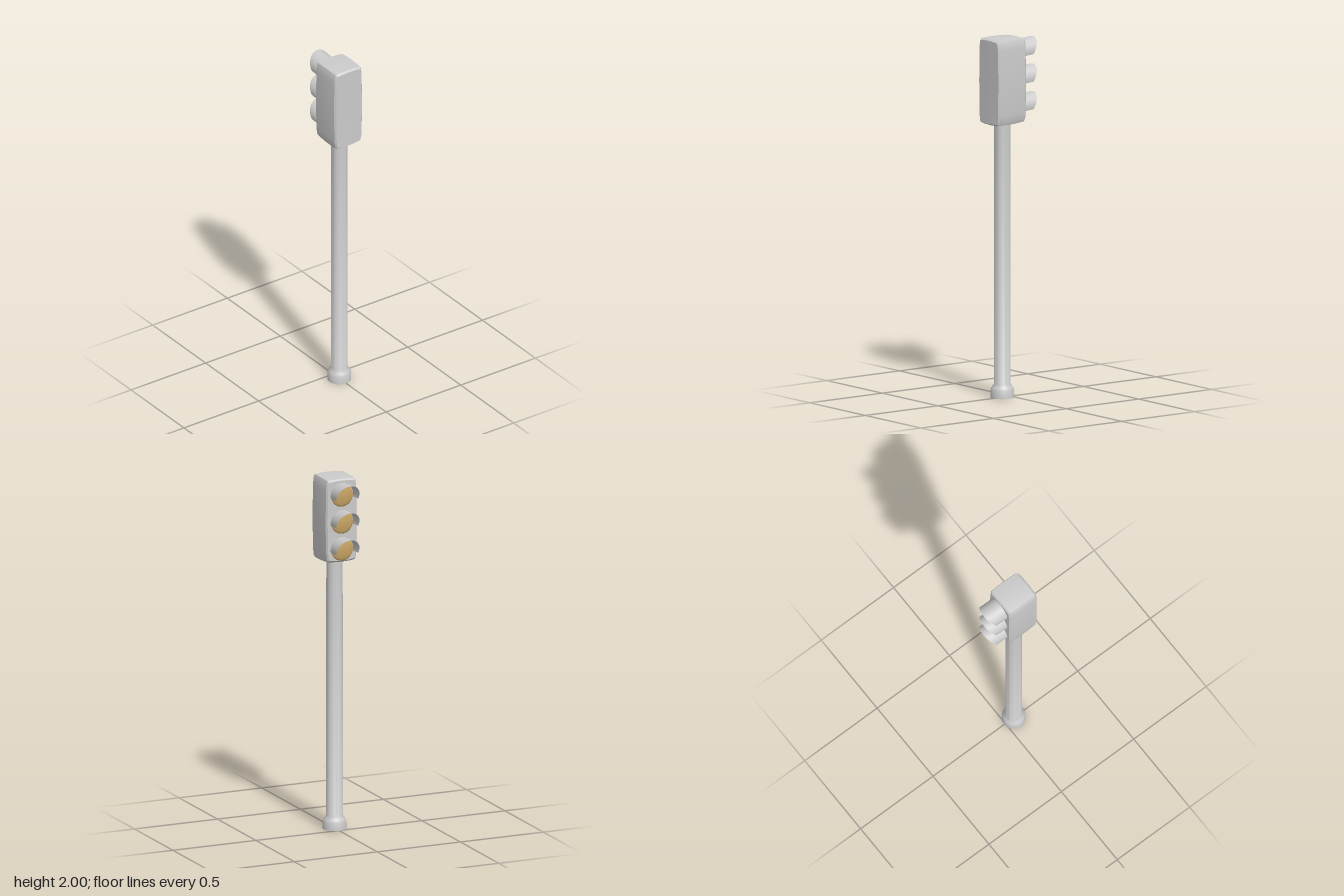
import * as THREE from 'three';
import { toCreasedNormals } from 'three/addons/utils/BufferGeometryUtils.js';

const grey = new THREE.MeshStandardMaterial({ color: 0xcccccc });
const thinGrey = new THREE.MeshStandardMaterial({ color: 0xcccccc, side: THREE.DoubleSide });
const amber = new THREE.MeshStandardMaterial({ color: 0xc8a464 });

const POLE_Z = 0.057;
const FACE_Z = -0.04;

function part(name, geometry, material) {
  const mesh = new THREE.Mesh(geometry, material);
  mesh.name = name;
  return mesh;
}

// Skin closed rings of equal length and cap both ends
function loft(rings) {
  const n = rings[0].length;
  const points = rings.flat();
  const index = [];
  for (let r = 0; r < rings.length - 1; r++) {
    for (let i = 0; i < n; i++) {
      const j = (i + 1) % n;
      const a = r * n + i, b = r * n + j, c = a + n, d = b + n;
      index.push(a, b, d, a, d, c);
    }
  }
  [0, rings.length - 1].forEach((r) => {
    const center = new THREE.Vector3();
    rings[r].forEach((p) => center.addScaledVector(p, 1 / n));
    if (r === 0) center.z = rings[r][0].z;
    const c = points.push(center) - 1;
    for (let i = 0; i < n; i++) {
      const a = r * n + i, b = r * n + (i + 1) % n;
      if (r === 0) index.push(c, b, a);
      else index.push(c, a, b);
    }
  });
  const g = new THREE.BufferGeometry().setFromPoints(points);
  g.setIndex(index);
  return g;
}

// Gently bulging signal box with bevelled edges
function housing() {
  const half = [[0.05, 0.239], [0.084, 0.235], [0.09, 0.22], [0.094, 0.18], [0.097, 0]];
  const right = [...half, ...half.slice(0, -1).reverse().map(([x, y]) => [x, -y])];
  // Counter-clockwise outline seen from +z
  const outline = [
    ...right.slice().reverse(), [0, 0.241],
    ...right.map(([x, y]) => [-x, y]), [0, -0.241],
  ];
  // z, inset of the outline
  const sections = [[FACE_Z, 0.011], [-0.03, 0.003], [0.01, 0.001], [0.055, 0], [0.1, 0.001], [0.14, 0.003], [0.15, 0.011]];
  const rings = sections.map(([z, inset], k) => outline.map(([x, y]) => {
    const px = x * (1 - inset / 0.097);
    let py = 1.759 + y * (1 - inset / 0.241);
    if (y < 0) py += (0.1 - z) * 0.05 * (-y / 0.241);
    const bulge = k === sections.length - 1 ? 0.003 * (1 - (x / 0.097) ** 2) : 0;
    return new THREE.Vector3(px, py, z + bulge);
  }));
  return part('housing', toCreasedNormals(loft(rings), 0.5), grey);
}

// Half-round hood, cut back obliquely towards its lower edges
function visor() {
  const around = 24, along = 4, radius = 0.068, sweep = Math.PI / 2 + 0.24;
  const g = new THREE.PlaneGeometry(1, 1, around, along);
  const p = g.attributes.position;
  for (let i = 0; i < p.count; i++) {
    const a = p.getX(i) * 2 * sweep;
    const t = p.getY(i) + 0.5;
    const y = radius * Math.cos(a);
    const depth = (0.077 + y * 0.53) * t;
    p.setXYZ(i, radius * Math.sin(a), y + depth * 0.07, -depth);
  }
  g.computeVertexNormals();
  return part('visor', g, thinGrey);
}

// Shallow domed lens
function lens() {
  const profile = [[0.065, -0.004], [0.065, 0.002], [0.055, 0.006], [0.035, 0.01], [0.015, 0.012], [0, 0.0125]];
  const g = new THREE.LatheGeometry(profile.map(([x, y]) => new THREE.Vector2(x, y)), 32);
  g.rotateX(-Math.PI / 2);
  return part('lens', g, amber);
}

// Round post with a flared foot
function pole() {
  const profile = [[0, 0], [0.065, 0], [0.064, 0.045], [0.058, 0.058], [0.046, 0.075], [0.045, 1.56], [0, 1.56]];
  const g = new THREE.LatheGeometry(profile.map(([x, y]) => new THREE.Vector2(x, y)), 32);
  const mesh = part('pole', toCreasedNormals(g, 0.7), grey);
  mesh.position.z = POLE_Z;
  return mesh;
}

export function createModel() {
  const model = new THREE.Group();
  model.name = 'trafficSignal';
  model.add(pole(), housing());

  // Three hooded lamps stacked on the box face
  for (let i = 0; i < 3; i++) {
    const lamp = new THREE.Group();
    lamp.name = `lamp${i + 1}`;
    lamp.add(lens(), visor());
    lamp.position.set(0, 1.907 - i * 0.153, FACE_Z);
    model.add(lamp);
  }
  return model;
}
